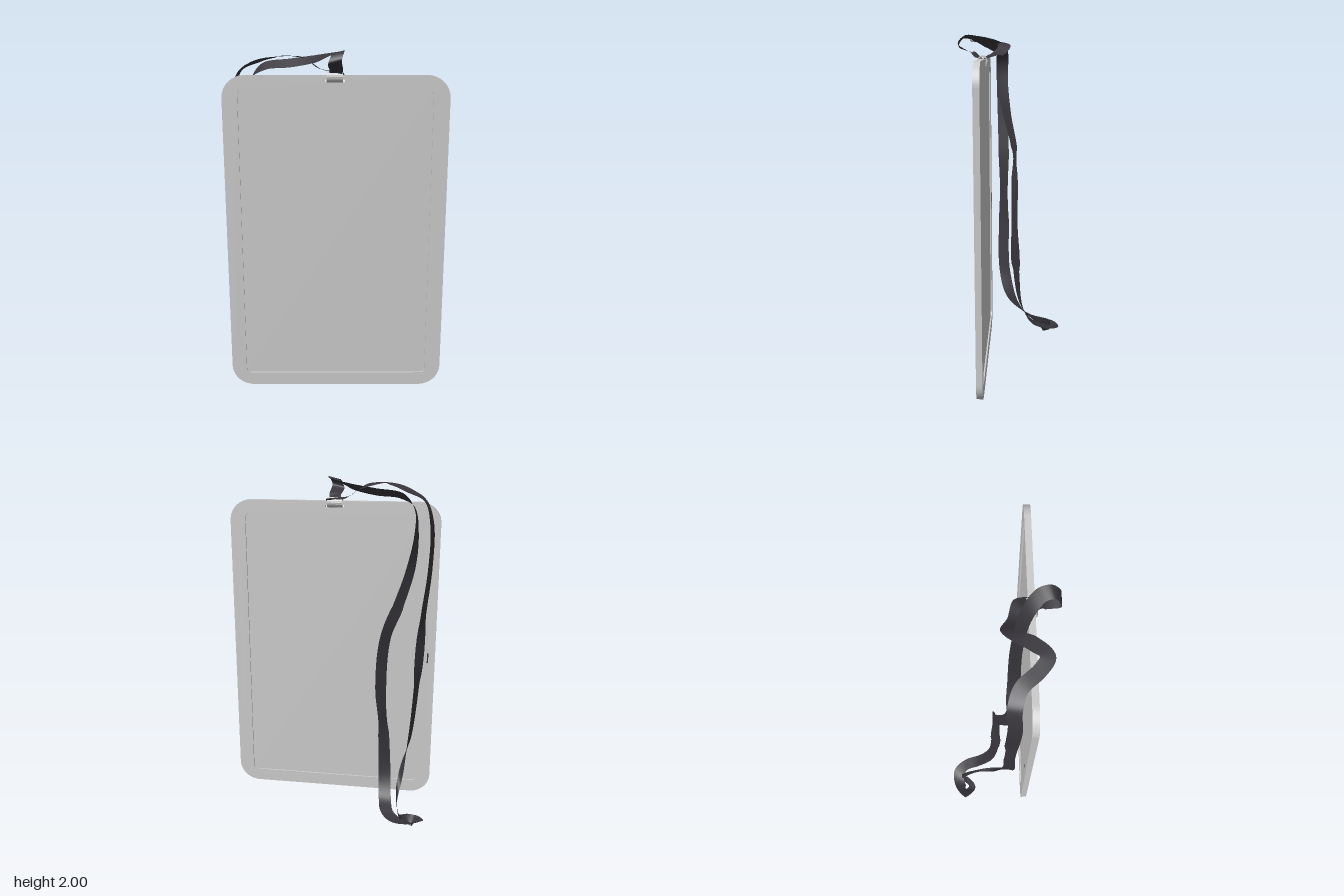
import * as THREE from 'three';

const GREY = new THREE.MeshStandardMaterial({ color: 0xcccccc });
const DARK = new THREE.MeshStandardMaterial({ color: 0x38363c });
const FABRIC = new THREE.MeshStandardMaterial({ color: 0x38363c, side: THREE.DoubleSide });

function add(group, name, geometry, material, x = 0, y = 0, z = 0) {
  const mesh = new THREE.Mesh(geometry, material);
  mesh.name = name;
  mesh.position.set(x, y, z);
  group.add(mesh);
  return mesh;
}

// Rounded rectangle, as an outline or a hole
function roundedRect(path, x0, y0, x1, y1, r) {
  path.moveTo(x0 + r, y0);
  path.absarc(x1 - r, y0 + r, r, -Math.PI / 2, 0, false);
  path.absarc(x1 - r, y1 - r, r, 0, Math.PI / 2, false);
  path.absarc(x0 + r, y1 - r, r, Math.PI / 2, Math.PI, false);
  path.absarc(x0 + r, y0 + r, r, Math.PI, Math.PI * 1.5, false);
  path.closePath();
  return path;
}

function extrude(shape, depth) {
  return new THREE.ExtrudeGeometry(shape, { depth, bevelEnabled: false, curveSegments: 8 });
}

// Flat strap: each row is a centre point followed by its half-width vector
function ribbon(rows, steps = 160) {
  const centre = new THREE.CatmullRomCurve3(rows.map(r => new THREE.Vector3(r[0], r[1], r[2])));
  const half = new THREE.CatmullRomCurve3(rows.map(r => new THREE.Vector3(r[3], r[4], r[5])));
  const pos = [], index = [];
  for (let i = 0; i <= steps; i++) {
    const c = centre.getPoint(i / steps), w = half.getPoint(i / steps).setLength(0.037);
    pos.push(c.x - w.x, c.y - w.y, c.z - w.z, c.x + w.x, c.y + w.y, c.z + w.z);
    if (i < steps) {
      const a = i * 2;
      index.push(a, a + 1, a + 2, a + 1, a + 3, a + 2);
    }
  }
  const g = new THREE.BufferGeometry();
  g.setAttribute('position', new THREE.Float32BufferAttribute(pos, 3));
  g.setIndex(index);
  g.computeVertexNormals();
  return g;
}

export function createModel() {
  const model = new THREE.Group();
  model.name = 'badgeHolder';

  // Frame with a window and a slot for the clip
  const frame = roundedRect(new THREE.Shape(), -0.62, 0.035, 0.62, 1.865, 0.125);
  frame.holes.push(roundedRect(new THREE.Path(), -0.535, 0.112, 0.53, 1.79, 0.03));
  frame.holes.push(roundedRect(new THREE.Path(), -0.06, 1.826, 0.05, 1.842, 0.007));
  add(model, 'frame', extrude(frame, 0.035), GREY, 0, 0, 0.14);

  // Recessed card panel and its thin border line
  add(model, 'panel', new THREE.BoxGeometry(1.075, 1.688, 0.017), GREY, -0.0025, 0.951, 0.1575);
  // Small slit on the back of the frame
  add(model, 'backSlit', new THREE.BoxGeometry(0.008, 0.06, 0.004), DARK, -0.576, 0.94, 0.1395);

  // Clip ring wrapped round the top edge
  const ring = new THREE.Shape().absarc(0, 0, 0.029, 0, Math.PI * 2);
  ring.holes.push(new THREE.Path().absarc(0, 0, 0.021, 0, Math.PI * 2, true));
  const clip = add(model, 'clip', extrude(ring, 0.088), GREY, -0.05, 1.855, 0.158);
  clip.rotation.y = Math.PI / 2;

  // Inner strand: folds forward over the clip, then runs back and down
  add(model, 'innerStrap', ribbon([
    [0, 1.865, 0.16, 0.036, 0, 0],
    [0, 1.90, 0.22, 0.036, 0, 0],
    [-0.005, 1.94, 0.295, 0.037, 0.01, 0],
    [0.01, 1.985, 0.26, 0.036, 0.01, -0.01],
    [0, 1.98, 0.20, 0.03, 0.01, -0.02],
    [-0.10, 1.95, 0.12, 0.012, 0.02, -0.027],
    [-0.25, 1.925, 0.075, 0, 0.02, -0.026],
    [-0.40, 1.905, 0.06, -0.005, 0.018, -0.03],
    [-0.47, 1.84, 0.06, 0, 0, -0.036],
    [-0.485, 1.70, 0.06, 0.01, 0, -0.034],
    [-0.46, 1.50, 0.03, 0.025, 0, -0.026],
    [-0.40, 1.30, -0.015, 0.031, 0, -0.02],
    [-0.33, 1.10, -0.02, 0.031, 0, -0.02],
    [-0.31, 0.80, -0.02, 0.031, 0, -0.02],
    [-0.335, 0.50, -0.03, 0.031, 0, -0.02],
    [-0.35, 0.25, -0.065, 0.035, 0, -0.01],
    [-0.36, 0.13, -0.14, 0.037, 0, 0],
    [-0.38, 0.09, -0.23, 0.036, 0, -0.005],
    [-0.43, 0.07, -0.28, 0.02, 0, -0.03],
    [-0.50, 0.05, -0.275, 0, 0.01, -0.034],
    [-0.565, 0.04, -0.24, -0.033, 0.012, 0],
  ]), FABRIC);

  // Outer strand: curls up from the floor and waves back to the clip
  add(model, 'outerStrap', ribbon([
    [-0.565, 0.04, -0.24, -0.033, 0.012, 0],
    [-0.53, 0.025, -0.20, 0, 0.02, 0.03],
    [-0.485, 0.035, -0.215, 0.02, 0.03, 0],
    [-0.46, 0.07, -0.26, 0.01, 0.033, 0],
    [-0.43, 0.13, -0.14, 0.005, 0.03, 0.02],
    [-0.45, 0.25, -0.01, 0.01, 0.015, 0.032],
    [-0.49, 0.45, 0.048, -0.01, 0, 0.035],
    [-0.52, 0.80, 0.055, -0.015, 0, 0.034],
    [-0.54, 1.20, 0.055, -0.015, 0, 0.034],
    [-0.57, 1.50, 0.06, -0.012, 0, 0.035],
    [-0.57, 1.75, 0.065, -0.01, 0, 0.035],
    [-0.53, 1.88, 0.06, -0.005, 0, 0.036],
    [-0.44, 1.93, 0.09, -0.025, 0, 0.027],
    [-0.36, 1.955, 0.18, -0.028, 0, 0.024],
    [-0.30, 1.965, 0.215, 0, 0, 0.037],
    [-0.235, 1.965, 0.15, 0.03, 0, 0.022],
    [-0.16, 1.94, 0.04, 0, 0, 0.037],
    [-0.08, 1.89, 0.075, -0.01, 0.005, 0.035],
    [0, 1.885, 0.10, -0.022, 0, 0.03],
    [0.01, 1.865, 0.15, -0.036, 0, 0.005],
  ]), FABRIC);

  return model;
}
